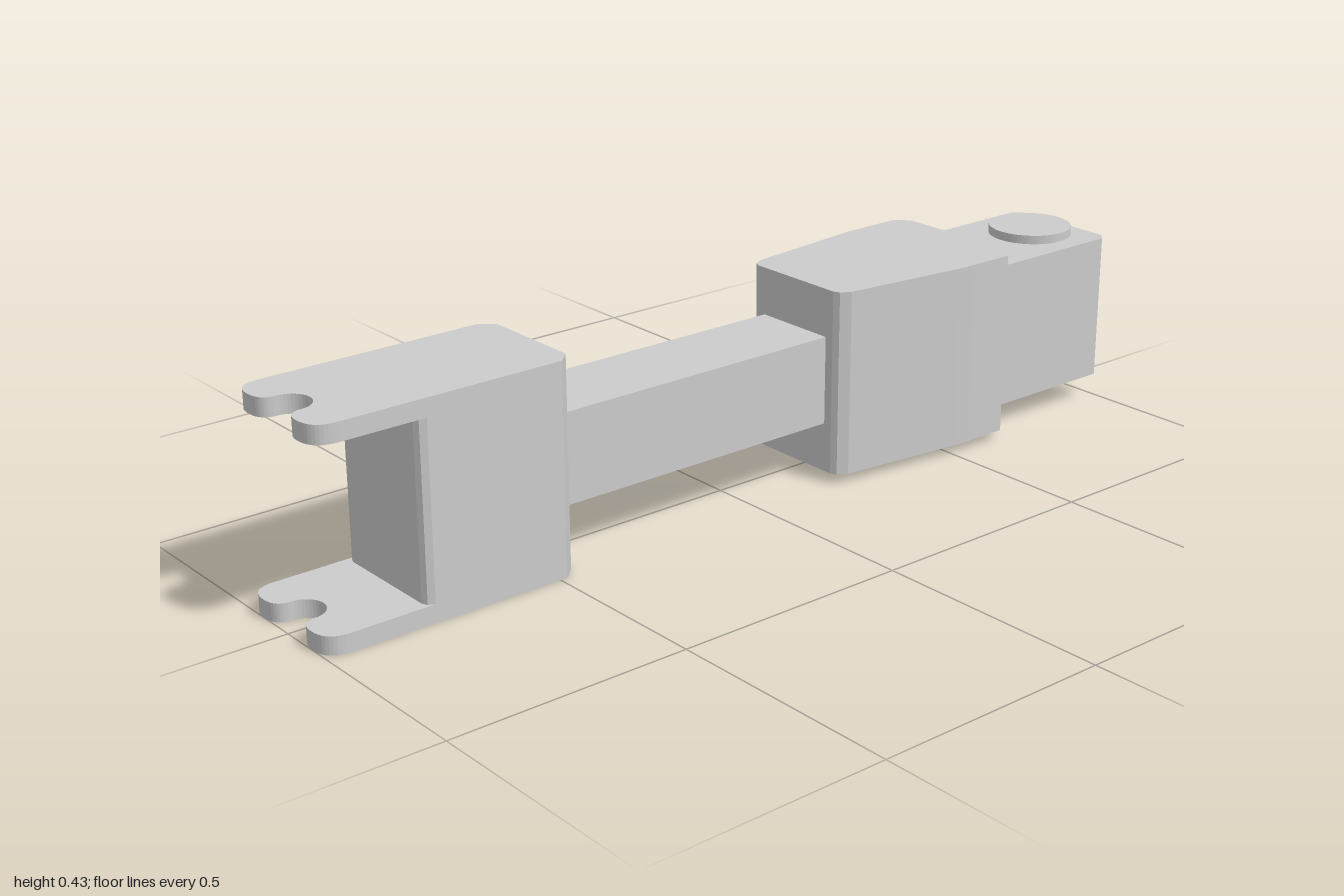
import * as THREE from 'three';

const material = new THREE.MeshStandardMaterial({ color: 0xcccccc });

// Extrudes a plan outline upward between two heights
function slab(name, shape, y0, y1) {
  const geometry = new THREE.ExtrudeGeometry(shape, { depth: y1 - y0, bevelEnabled: false, curveSegments: 10 });
  geometry.rotateX(-Math.PI / 2).translate(0, y0, 0);
  const mesh = new THREE.Mesh(geometry, material);
  mesh.name = name;
  return mesh;
}

// Closed plan outline mirrored across the centre line from its [x, z] half profile
function mirrored(half) {
  const other = half.map(([x, z]) => [x, -z]).reverse();
  return new THREE.Shape([...half, ...other].map(([x, z]) => new THREE.Vector2(x, z)));
}

// Fork plate: chamfered at the block end, two rounded prongs around a round notch
function forkShape() {
  const s = new THREE.Shape();
  s.moveTo(-0.79, -0.133);
  s.lineTo(-0.485, -0.133);
  s.lineTo(-0.457, -0.107);
  s.lineTo(-0.457, 0.107);
  s.lineTo(-0.485, 0.133);
  s.lineTo(-0.95, 0.133);
  s.quadraticCurveTo(-1, 0.133, -1, 0.083);
  s.quadraticCurveTo(-1, 0.042, -0.967, 0.042);
  s.absarc(-0.967, 0, 0.042, Math.PI / 2, -Math.PI / 2, true);
  s.quadraticCurveTo(-1, -0.042, -1, -0.083);
  s.quadraticCurveTo(-1, -0.133, -0.95, -0.133);
  return s;
}

export function createModel() {
  const group = new THREE.Group();
  group.name = 'linkArm';

  // Fork end
  group.add(slab('lowerForkPlate', forkShape(), 0, 0.037));
  group.add(slab('upperForkPlate', forkShape(), 0.393, 0.43));
  group.add(slab('forkBlock', mirrored([
    [-0.793, 0.115], [-0.788, 0.127], [-0.775, 0.133], [-0.485, 0.133], [-0.457, 0.107],
  ]), 0.037, 0.393));

  // Connecting beam
  const beam = new THREE.Mesh(new THREE.BoxGeometry(0.657, 0.186, 0.186), material);
  beam.name = 'beam';
  beam.position.set(-0.1285, 0.217, 0);
  group.add(beam);

  // Flared housing
  group.add(slab('housing', mirrored([
    [0.198, 0.113], [0.204, 0.126], [0.225, 0.138], [0.46, 0.165], [0.5, 0.17],
    [0.54, 0.171], [0.64, 0.171], [0.668, 0.144],
  ]), 0.02, 0.411));

  // Tip block
  group.add(slab('tipBlock', mirrored([[0.66, 0.133], [0.982, 0.133], [1, 0.115]]), 0.057, 0.373));

  // Pivot pin passing through the tip block
  const pin = new THREE.Mesh(new THREE.CylinderGeometry(0.09, 0.09, 0.352, 32), material);
  pin.name = 'pivotPin';
  pin.position.set(0.893, 0.216, 0);
  group.add(pin);

  return group;
}
